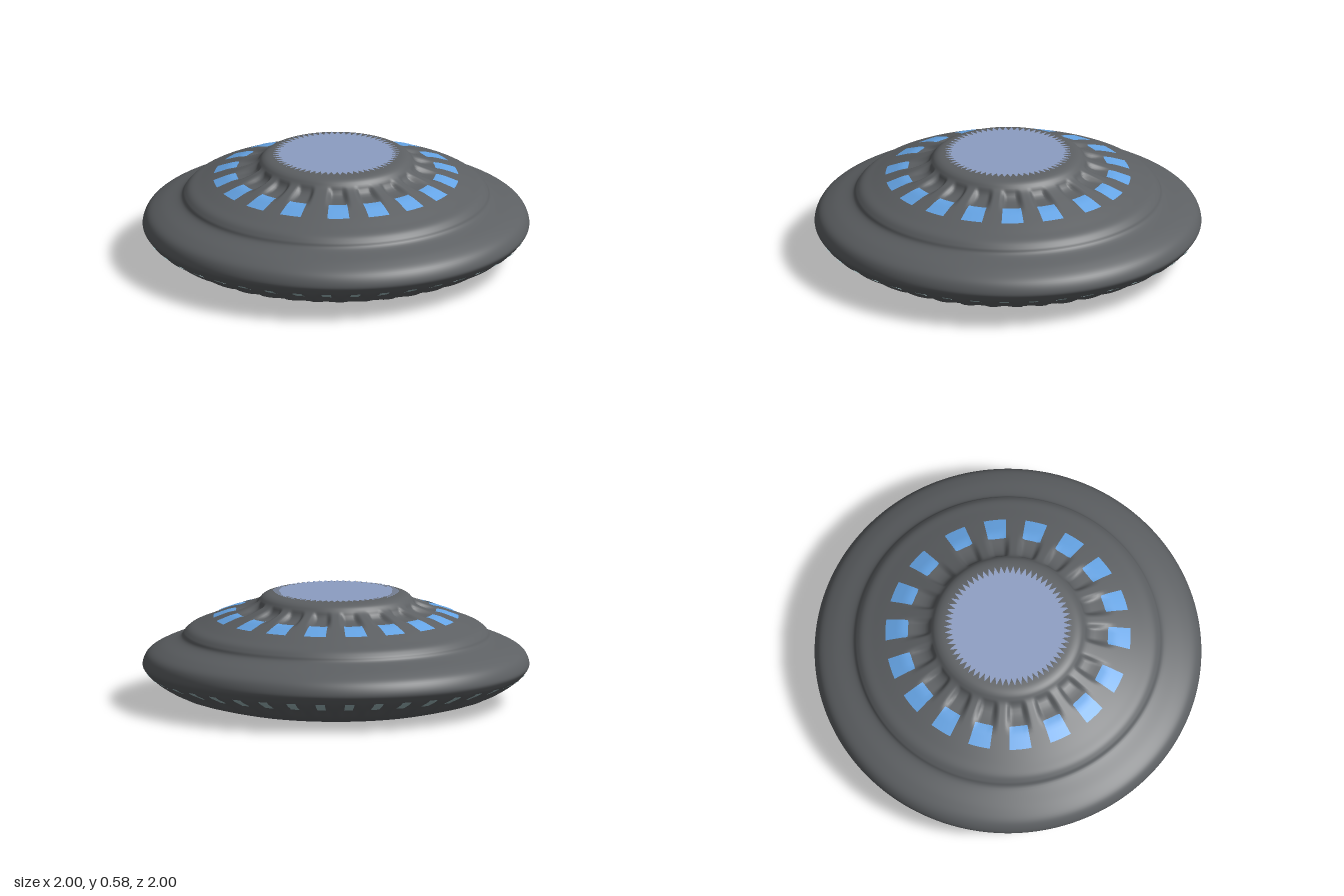
import * as THREE from 'three';
import { mergeVertices } from 'three/addons/utils/BufferGeometryUtils.js';

const DEG = Math.PI / 180;

// Side profile (radius, height) from the underside edge up to the roof edge
const profile = new THREE.SplineCurve([
  [0.62, 0.003], [0.73, 0.03], [0.83, 0.062], [0.94, 0.125], [0.985, 0.17], [1, 0.205],
  [0.975, 0.26], [0.91, 0.3], [0.81, 0.34], [0.785, 0.37], [0.755, 0.396], [0.7, 0.419],
  [0.63, 0.447], [0.53, 0.484], [0.42, 0.526], [0.38, 0.56], [0.35, 0.573], [0.31, 0.578],
].map(([r, y]) => new THREE.Vector2(r, y))).getPoints(102);

// Window angles, measured from the front towards the left side
const upperAngles = [];
for (let i = 0; i < 7; i++) upperAngles.push(180 - (48 + i * 19.65));
for (let i = 0; i < 11; i++) upperAngles.push(180 - (189 + i * 19.65));
const lowerAngles = Array.from({ length: 40 }, (_, i) => 1 + i * 9);

const bump = (v, centre, half) => {
  const d = Math.abs(v - centre) / half;
  return d < 1 ? (1 - d * d) ** 2 : 0;
};

// Strength of the groove at an angle: full near a window, fading out between windows
function groove(angle, angles, inner, outer) {
  let nearest = 360;
  for (const a of angles) {
    const d = Math.abs(((angle - a) % 360 + 540) % 360 - 180);
    nearest = Math.min(nearest, d);
  }
  return 1 - THREE.MathUtils.smoothstep(nearest, inner, outer);
}

// Hull point pressed in by the grooves above the upper and below the lower windows
function pressed(r, y, angle) {
  const up = groove(angle, upperAngles, 3.5, 7.5) * bump(y, 0.507, 0.035);
  const low = groove(angle, lowerAngles, 1.2, 3.4) * bump(y, 0.095, 0.065);
  const radius = r - 0.022 * up - 0.028 * low;
  const height = y - 0.016 * up + 0.008 * low;
  return new THREE.Vector3(
    radius * Math.sin(angle * DEG), height, radius * Math.cos(angle * DEG));
}

function radiusAt(y) {
  const i = Math.max(1, profile.findIndex((p) => p.y >= y));
  const a = profile[i - 1], b = profile[i];
  return THREE.MathUtils.mapLinear(y, a.y, b.y, a.x, b.x);
}

function hullGeometry() {
  const points = [new THREE.Vector2(0, 0.003), new THREE.Vector2(0.4, 0.003),
    new THREE.Vector2(0.6, 0.003), ...profile, new THREE.Vector2(0.28, 0.578),
    new THREE.Vector2(0, 0.578)];
  const geometry = new THREE.LatheGeometry(points, 360);
  const pos = geometry.attributes.position;
  for (let i = 0; i < pos.count; i++) {
    const x = pos.getX(i), z = pos.getZ(i);
    const p = pressed(Math.hypot(x, z), pos.getY(i), Math.atan2(x, z) / DEG);
    pos.setXYZ(i, p.x, p.y, p.z);
  }
  // Weld the seam so the shading runs smoothly round
  geometry.deleteAttribute('uv');
  geometry.deleteAttribute('normal');
  const welded = mergeVertices(geometry, 1e-5);
  welded.computeVertexNormals();
  return welded;
}

// Thin pane that follows the hull, lifted just off it
function paneGeometry(angle, halfWidth, y0, y1, liftR, liftY) {
  const geometry = new THREE.PlaneGeometry(2, 1, 6, 6);
  const pos = geometry.attributes.position;
  for (let i = 0; i < pos.count; i++) {
    const a = angle + pos.getX(i) * halfWidth;
    const y = THREE.MathUtils.lerp(y0, y1, pos.getY(i) + 0.5);
    const p = pressed(radiusAt(y), y, a);
    pos.setXYZ(i, p.x + liftR * Math.sin(a * DEG), p.y + liftY, p.z + liftR * Math.cos(a * DEG));
  }
  geometry.computeVertexNormals();
  return geometry;
}

// Flat disc with a saw-tooth edge
function toothedDisc(teeth, inner, outer) {
  const points = [];
  for (let i = 0; i < teeth * 2; i++) {
    const a = (i / teeth) * Math.PI, r = i % 2 ? inner : outer;
    points.push(new THREE.Vector2(r * Math.cos(a), r * Math.sin(a)));
  }
  return new THREE.ShapeGeometry(new THREE.Shape(points));
}

export function createModel() {
  const material = (name, color, side = THREE.FrontSide) => {
    const m = new THREE.MeshStandardMaterial({ color, side });
    m.name = name;
    return m;
  };
  const hullGrey = material('hull grey', 0x5d6063);
  const windowBlue = material('window blue', 0x68a9ec, THREE.DoubleSide);
  const portPale = material('port pale teal', 0x9fbabd, THREE.DoubleSide);
  const discBlue = material('disc slate blue', 0x8c9dc2);

  const model = new THREE.Group();
  model.name = 'saucer';
  const add = (parent, name, geometry, mat) => {
    const mesh = new THREE.Mesh(geometry, mat);
    mesh.name = name;
    parent.add(mesh);
    return mesh;
  };

  add(model, 'hull', hullGeometry(), hullGrey);

  // Ring of large windows on the upper slope
  const windows = new THREE.Group();
  windows.name = 'upperWindows';
  for (const a of upperAngles) {
    add(windows, 'upperWindow', paneGeometry(a, 5.2, 0.446, 0.486, 0.002, 0.004), windowBlue);
  }
  model.add(windows);

  // Ring of small ports under the rim
  const ports = new THREE.Group();
  ports.name = 'lowerPorts';
  for (const a of lowerAngles) {
    add(ports, 'lowerPort', paneGeometry(a, 1.45, 0.103, 0.157, 0.003, -0.003), portPale);
  }
  model.add(ports);

  // Toothed discs on the roof and the underside
  const disc = toothedDisc(64, 0.288, 0.33);
  const roof = add(model, 'roofDisc', disc, discBlue);
  roof.rotation.x = -Math.PI / 2;
  roof.position.y = 0.582;
  const base = add(model, 'undersideDisc', disc, discBlue);
  base.rotation.x = Math.PI / 2;

  return model;
}
